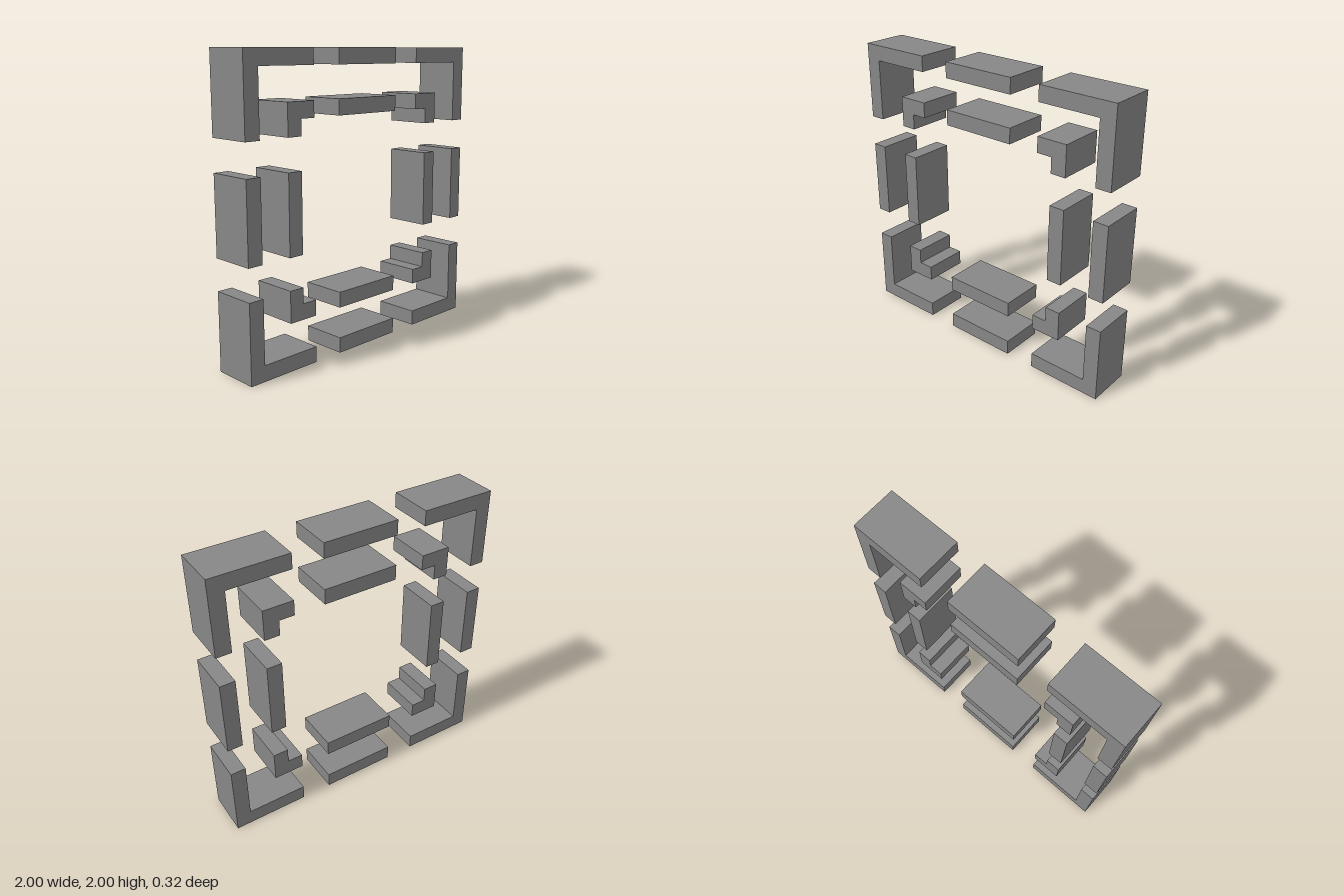
import * as THREE from 'three';

const U = 1 / 19;          // module unit
const THICK = 2 * U;       // wall thickness of every piece
const DEPTH = 6 * U;       // front-to-back depth
const CORNER_START = 9 * U;
const BAR_LENGTH = 10 * U;

const material = new THREE.MeshStandardMaterial({ color: 0x878787, flatShading: true });

// L-shaped corner piece whose outer corner sits at (r, r)
function cornerGeometry(r) {
  const a = CORNER_START, i = r - THICK;
  const shape = new THREE.Shape(
    [[a, i], [i, i], [i, a], [r, a], [r, r], [a, r]].map(([x, y]) => new THREE.Vector2(x, y))
  );
  return new THREE.ExtrudeGeometry(shape, { depth: DEPTH, bevelEnabled: false })
    .translate(0, 0, -DEPTH / 2);
}

// Straight piece centred on the top side of the frame
function barGeometry(r) {
  return new THREE.BoxGeometry(BAR_LENGTH, THICK, DEPTH).translate(0, r - THICK / 2, 0);
}

// Dashed square frame: one corner and one bar, repeated on four sides
function dashedFrame(name, r) {
  const frame = new THREE.Group();
  frame.name = name;
  const corner = cornerGeometry(r), bar = barGeometry(r);
  const sides = ['top', 'left', 'bottom', 'right'];
  const corners = ['topLeft', 'bottomLeft', 'bottomRight', 'topRight'];
  for (let k = 0; k < 4; k++) {
    const cornerMesh = new THREE.Mesh(corner, material);
    cornerMesh.name = corners[k] + 'Corner';
    const barMesh = new THREE.Mesh(bar, material);
    barMesh.name = sides[k] + 'Bar';
    for (const mesh of [cornerMesh, barMesh]) {
      mesh.rotation.z = -k * Math.PI / 2;
      frame.add(mesh);
    }
  }
  frame.position.y = 1;
  return frame;
}

export function createModel() {
  const model = new THREE.Group();
  model.name = 'doubleDashedFrame';
  model.add(dashedFrame('outerFrame', 1), dashedFrame('innerFrame', 13 * U));
  return model;
}
